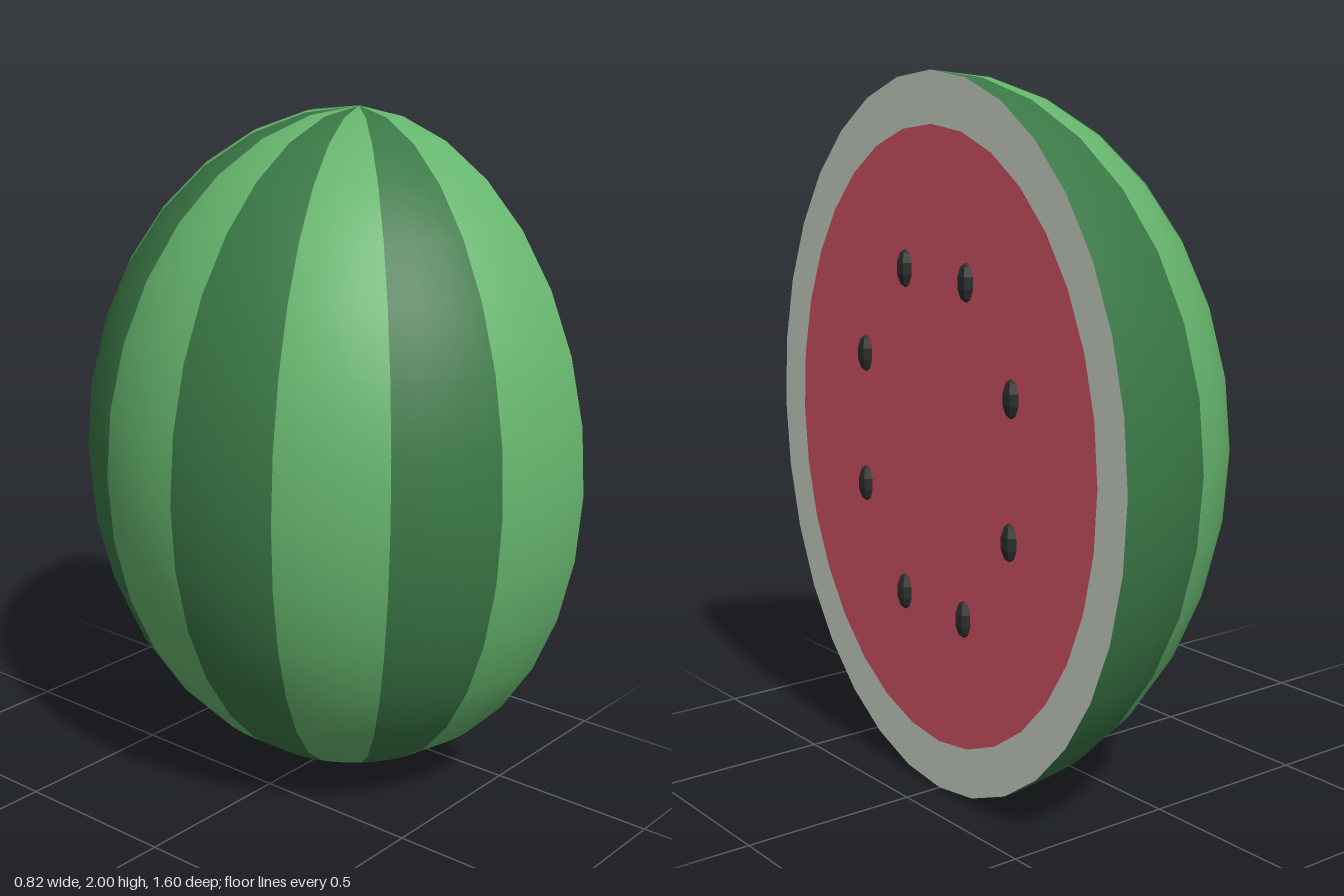
import * as THREE from 'three';

const CUT = 0.389; // x of the flat cut face
const RX = 0.8, RY = 1;

function material(name, color, flatShading = false) {
  const m = new THREE.MeshStandardMaterial({ color, flatShading });
  m.name = name;
  return m;
}

export function createModel() {
  const group = new THREE.Group();
  group.name = 'halfMelon';
  const darkGreen = material('dark green', 0x3a7846);
  const lightGreen = material('light green', 0x66b56d);
  const rindWhite = material('pale rind', 0xcdd5c8);
  const fleshRed = material('red flesh', 0xd65567);
  const seedBlack = material('seed black', 0x2c2e2e, true);

  function add(parent, name, geometry, mat, x = CUT, y = RY, z = 0) {
    const mesh = new THREE.Mesh(geometry, mat);
    mesh.name = name;
    mesh.position.set(x, y, z);
    parent.add(mesh);
  }

  // Striped skin: eight wedges of a half ellipsoid
  const skin = new THREE.Group();
  skin.name = 'skin';
  group.add(skin);
  const step = Math.PI / 8;
  for (let i = 0; i < 8; i++) {
    const g = new THREE.SphereGeometry(1, 2, 16, -Math.PI / 2 + i * step, step);
    g.scale(RX, RY, RX);
    add(skin, 'stripe' + (i + 1), g, i % 2 ? lightGreen : darkGreen);
  }

  // Cut face: pale ring around the red flesh
  const onCut = (g) => g.rotateY(Math.PI / 2).scale(1, RY, RX);
  add(group, 'rind', onCut(new THREE.RingGeometry(0.86, 1, 32)), rindWhite);
  add(group, 'flesh', onCut(new THREE.CircleGeometry(0.86, 32)), fleshRed);

  // Seeds in an oval ring
  const seeds = new THREE.Group();
  seeds.name = 'seeds';
  group.add(seeds);
  const seedShape = new THREE.SphereGeometry(1, 6, 5).rotateY(Math.PI / 6).scale(0.021, 0.053, 0.031);
  for (let i = 0; i < 8; i++) {
    const a = 0.43 + i * Math.PI / 4;
    add(seeds, 'seed' + (i + 1), seedShape, seedBlack, CUT + 0.002, RY + 0.5 * Math.sin(a), 0.37 * Math.cos(a));
  }
  return group;
}
